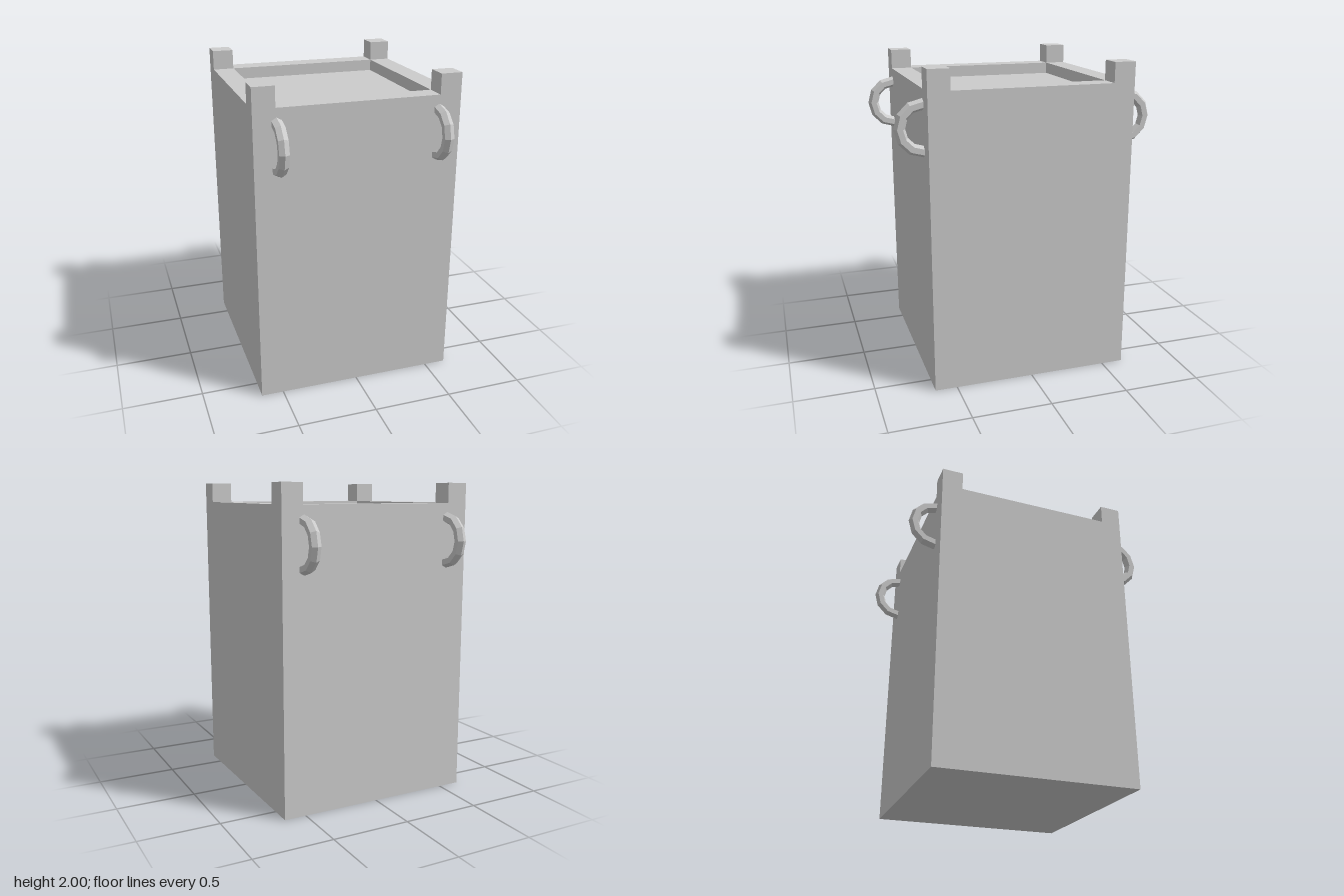
import * as THREE from 'three';

const HALF = 0.64;      // half width of the body
const INNER = 0.505;    // half width of the recess
const FLOOR = 1.8;      // recessed top panel
const RIM = 1.875;      // top of the rim
const TOP = 2;          // top of the corner posts

export function createModel() {
  const group = new THREE.Group();
  const material = new THREE.MeshStandardMaterial({ color: 0xcccccc, flatShading: true });

  const add = (name, geometry, x, y, z) => {
    const mesh = new THREE.Mesh(geometry, material);
    mesh.name = name;
    mesh.position.set(x, y, z);
    group.add(mesh);
    return mesh;
  };

  // Square outline, used for the rim and its opening
  const square = (Type, h) => new Type([
    new THREE.Vector2(-h, -h), new THREE.Vector2(h, -h),
    new THREE.Vector2(h, h), new THREE.Vector2(-h, h),
  ]);

  // Body up to the recessed panel
  add('body', new THREE.BoxGeometry(HALF * 2, FLOOR, HALF * 2), 0, FLOOR / 2, 0);

  // Raised rim around the panel
  const rimShape = square(THREE.Shape, HALF);
  rimShape.holes.push(square(THREE.Path, INNER));
  const rim = new THREE.ExtrudeGeometry(rimShape, { depth: RIM - FLOOR, bevelEnabled: false });
  rim.rotateX(-Math.PI / 2);
  add('rim', rim, 0, FLOOR, 0);

  // Corner posts and half-ring handles on the front and back
  const width = HALF - INNER;
  const post = new THREE.BoxGeometry(width, TOP - RIM, width);
  const ring = new THREE.TorusGeometry(0.14, 0.035, 6, 6, Math.PI);
  ring.rotateZ(-Math.PI / 2);
  ring.rotateY(-Math.PI / 2);
  for (const sx of [-1, 1]) {
    for (const sz of [-1, 1]) {
      const side = (sz > 0 ? 'front' : 'back') + (sx > 0 ? 'Left' : 'Right');
      const c = (HALF + INNER) / 2;
      add(side + 'Post', post, sx * c, (RIM + TOP) / 2, sz * c);
      const handle = add(side + 'Handle', ring, sx * 0.5, 1.645, sz * HALF);
      if (sz < 0) handle.rotation.y = Math.PI;
    }
  }
  return group;
}
